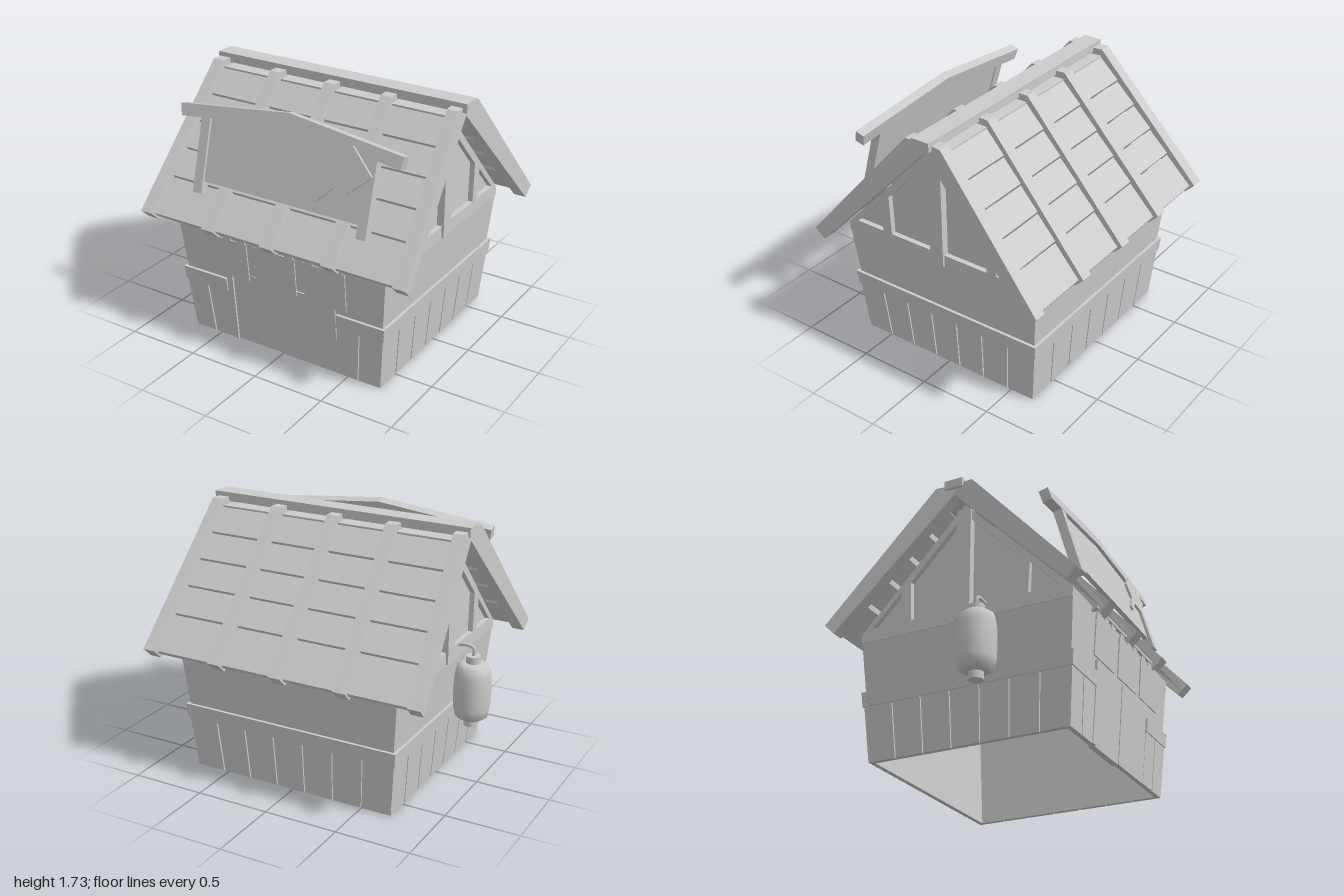
import * as THREE from 'three';

const grey = new THREE.MeshStandardMaterial({ color: 0xcccccc, flatShading: true, side: THREE.DoubleSide });
const smooth = new THREE.MeshStandardMaterial({ color: 0xcccccc });

function add(parent, name, geometry, material = grey) {
  const mesh = new THREE.Mesh(geometry, material);
  mesh.name = name;
  parent.add(mesh);
  return mesh;
}

// Box given by its lower and upper limits on each axis
function box(x0, x1, y0, y1, z0, z1) {
  return new THREE.BoxGeometry(x1 - x0, y1 - y0, z1 - z0)
    .translate((x0 + x1) / 2, (y0 + y1) / 2, (z0 + z1) / 2);
}

function polygon(points) {
  return new THREE.Shape(points.map(([x, y]) => new THREE.Vector2(x, y)));
}

function extrude(shape, depth) {
  return new THREE.ExtrudeGeometry(shape, { depth, bevelEnabled: false });
}

function bend(geometry, rule) {
  const p = geometry.attributes.position;
  const v = new THREE.Vector3();
  for (let i = 0; i < p.count; i++) {
    rule(v.fromBufferAttribute(p, i));
    p.setXYZ(i, v.x, v.y, v.z);
  }
  geometry.computeVertexNormals();
  return geometry;
}

const WIDTH = 0.71, DEPTH = 0.665, LEAN = 0.0875;

// One outward-leaning wall; returns a function that fixes parts to its face
function makeWall(house, name, angle, half, dist) {
  const wall = new THREE.Group();
  wall.name = name;
  wall.rotation.y = angle;
  house.add(wall);
  return (part, u0, u1, y0, y1, d0, d1, flare = true) => {
    const g = bend(box(u0, u1, y0, y1, d0, d1), v => {
      if (flare) v.x *= 1 + LEAN * v.y / half;
      v.z += dist + LEAN * v.y;
    });
    return add(wall, part, g);
  };
}

// Evenly spaced cladding boards from u0 to u1
function clad(part, u0, u1, count) {
  const step = (u1 - u0) / count, gap = 0.005;
  for (let i = 0; i < count; i++) {
    part('plank', u0 + i * step + (i ? gap : 0), u0 + (i + 1) * step - (i < count - 1 ? gap : 0), 0, 0.36, 0, 0.012);
  }
}

function makeHouse() {
  const house = new THREE.Group();
  house.name = 'house';
  house.position.set(0.015, 0, 0.01);

  // Back and side walls with cladding and a belt rail
  const plain = [['backWall', Math.PI, WIDTH, DEPTH, 0.85],
    ['leftWall', Math.PI / 2, DEPTH, WIDTH, 0.8], ['rightWall', -Math.PI / 2, DEPTH, WIDTH, 0.8]];
  for (const [name, angle, half, dist, top] of plain) {
    const part = makeWall(house, name, angle, half, dist);
    part('wallPanel', -half, half, 0, top, -0.02, 0);
    clad(part, -half - 0.012, half + 0.012, 7);
    part('beltRail', -half - 0.02, half + 0.02, 0.36, 0.455, 0, 0.02);
  }

  // Front wall with sliding doors
  const front = makeWall(house, 'frontWall', 0, WIDTH, DEPTH);
  front('wallPanel', -WIDTH, WIDTH, 0, 0.85, -0.02, 0);
  for (const s of [-1, 1]) {
    const a = s * 0.4, b = s * (WIDTH + 0.012), c = s * (WIDTH + 0.02);
    clad(front, Math.min(a, b), Math.max(a, b), 2);
    front('beltRail', Math.min(a, c), Math.max(a, c), 0.36, 0.455, 0, 0.02);
  }
  front('slidingDoor', -0.37, 0, 0, 0.53, -0.035, 0.005, false);
  front('fixedDoor', 0, 0.41, 0, 0.53, 0, 0.01, false);
  front('doorPost', -0.415, -0.37, 0, 0.53, 0, 0.018, false);

  // Door curtain: three cloths hung by loops from a rod
  for (const u of [-0.365, 0, 0.365]) {
    front('curtainCloth', u - 0.152, u + 0.152, 0.515, 0.785, 0.034, 0.042, false);
    for (const k of [-0.11, 0, 0.11]) {
      front('curtainLoop', u + k - 0.03, u + k + 0.03, 0.785, 0.825, 0.034, 0.042, false);
    }
  }
  front('curtainRod', -0.53, 0.53, 0.815, 0.835, 0.028, 0.048, false);
  for (const u of [-0.5, 0.5]) front('rodBracket', u - 0.01, u + 0.01, 0.815, 0.835, 0, 0.03, false);

  // Timber-framed gables
  const outline = [[-0.735, 0.79], [0.735, 0.79], [0.735, 0.85], [0, 1.62], [-0.735, 0.85]];
  for (const s of [0, 1]) {
    const gable = new THREE.Group();
    gable.name = s ? 'rightGable' : 'leftGable';
    gable.rotation.y = s * Math.PI;
    house.add(gable);
    add(gable, 'gablePanel', extrude(polygon(outline), 0.02).rotateY(Math.PI / 2).translate(0.73, 0, 0));
    const frame = polygon(outline);
    for (const m of [-1, 1]) {
      frame.holes.push(polygon([[m * 0.66, 0.88], [m * 0.455, 1.09], [m * 0.445, 0.88]]));
      frame.holes.push(polygon([[m * 0.375, 0.88], [m * 0.385, 1.15], [m * 0.05, 1.5], [m * 0.05, 0.88]]));
    }
    add(gable, 'gableFrame', extrude(frame, 0.035).rotateY(Math.PI / 2).translate(0.75, 0, 0));
    add(gable, 'kingPost', box(0.75, 0.8, 0.8, 1.58, -0.05, 0.05));
  }
  return house;
}

// Extrudes a (z, y) profile across x, then splays it wider toward the eave
function roofPart(points, x, width) {
  const g = extrude(polygon(points), width).translate(0, 0, -width / 2).rotateY(-Math.PI / 2).translate(x, 0, 0);
  return bend(g, v => { v.x *= 1 + 0.115 * Math.abs(v.z); });
}

function makeRoof() {
  const roof = new THREE.Group();
  roof.name = 'roof';
  const line = z => 1.85 - 1.15 * z;
  const rafter = [[0.865, 0.855], [0.13, 1.7], [0, 1.7], [0, 1.63], [0.8, 0.79]];
  const courses = [0.12, 0.255, 0.385, 0.515, 0.65, 0.83];

  for (const s of [0, 1]) {
    const slope = new THREE.Group();
    slope.name = s ? 'backSlope' : 'frontSlope';
    slope.rotation.y = s * Math.PI;
    roof.add(slope);
    // Barge boards at the ends, battens between
    for (const x of [-0.86, -0.41, 0, 0.41, 0.86]) {
      add(slope, Math.abs(x) > 0.5 ? 'bargeBoard' : 'batten', roofPart(rafter, x, 0.078));
    }
    // Overlapping board courses
    for (let i = 0; i < courses.length - 1; i++) {
      const a = courses[i], b = courses[i + 1];
      add(slope, 'roofBoard', roofPart([[a, line(a) - 0.064], [a, line(a) - 0.1],
        [b - 0.015, line(b) - 0.075], [b, line(b) - 0.05]], 0, 1.72));
    }
    add(slope, 'ridgeBoard', roofPart([[0, 1.62], [0.125, 1.62], [0.125, 1.655], [0, 1.655]], 0, 1.72));
  }
  add(roof, 'ridgeBeam', box(-0.92, 0.935, 1.67, 1.73, -0.065, 0.065));
  roof.position.x = 0.005;
  return roof;
}

// Leaning signboard on two posts under a shallow peaked rail
function makeSign() {
  const sign = new THREE.Group();
  sign.name = 'signboard';
  sign.position.set(0.01, 1.025, 0.72);
  sign.rotation.x = -0.265;
  for (const x of [-0.61, 0.61]) add(sign, 'signPost', box(x - 0.033, x + 0.033, 0, 0.5, -0.03, 0.03));
  add(sign, 'signPanel', extrude(polygon([[-0.59, 0.08], [0.59, 0.08], [0.59, 0.5], [0, 0.57], [-0.59, 0.5]]), 0.03)
    .translate(0, 0, -0.02));
  add(sign, 'signRail', extrude(polygon([[-0.8, 0.465], [0, 0.56], [0.8, 0.465], [0.815, 0.545], [0, 0.64],
    [-0.815, 0.545]]), 0.064).translate(0, 0, -0.032));
  // Flat paddle ornament
  add(sign, 'paddle', extrude(polygon([[0.26, 0.18], [0.28, 0.156], [0.385, 0.262], [0.48, 0.245], [0.635, 0.383],
    [0.48, 0.54], [0.34, 0.41], [0.36, 0.3]]), 0.016).translate(0, 0, 0.032));
  return sign;
}

function makeLantern() {
  const lantern = new THREE.Group();
  lantern.name = 'lantern';
  lantern.position.set(-0.875, 0, 0.165);
  const profile = [[0, 0.365], [0.075, 0.368], [0.108, 0.39], [0.121, 0.45], [0.125, 0.565],
    [0.121, 0.68], [0.108, 0.74], [0.075, 0.762], [0, 0.765]];
  add(lantern, 'lanternBody', new THREE.LatheGeometry(profile.map(([r, y]) => new THREE.Vector2(r, y)), 12), smooth);
  for (const y of [0.343, 0.785]) {
    add(lantern, 'lanternCap', new THREE.CylinderGeometry(0.048, 0.048, 0.05, 12).translate(0, y, 0), smooth);
  }
  // Hook from the gable beam
  const path = new THREE.CatmullRomCurve3([[0.12, 0.87], [0.03, 0.875], [0, 0.86], [0, 0.8]]
    .map(([x, y]) => new THREE.Vector3(x, y, 0)));
  add(lantern, 'lanternHook', new THREE.TubeGeometry(path, 12, 0.012, 6), smooth);
  return lantern;
}

export function createModel() {
  const model = new THREE.Group();
  model.name = 'hut';
  model.add(makeHouse(), makeRoof(), makeSign(), makeLantern());
  return model;
}
